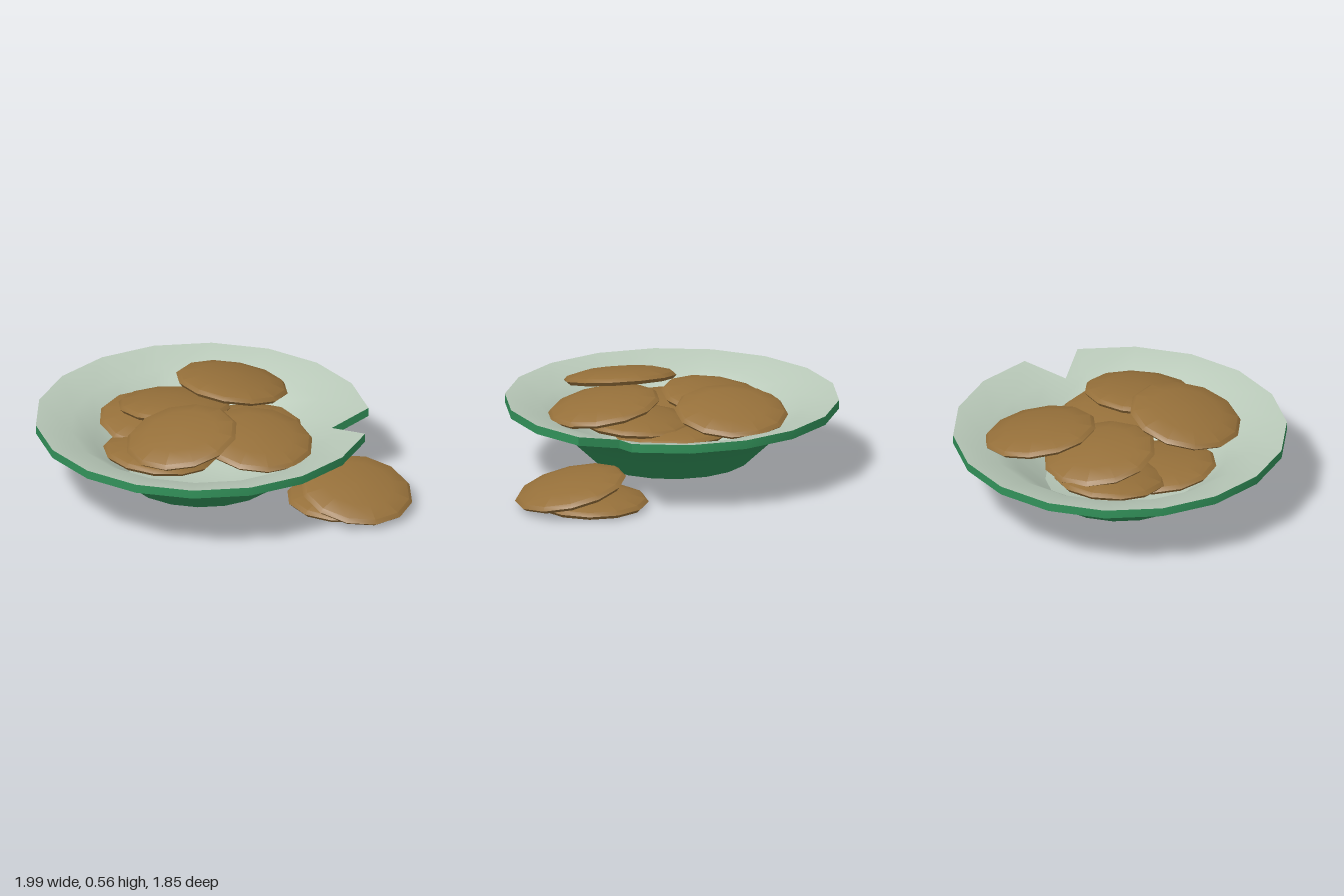
import * as THREE from 'three';
import { toCreasedNormals } from 'three/addons/utils/BufferGeometryUtils.js';

const SIDES = 18;
const STEP = (Math.PI * 2) / SIDES;
const CHIP = 2; // rim segment with the broken notch

// Profiles as [radius, height]
const OUTER = [[0, 0], [0.165, 0], [0.44, 0.08], [0.62, 0.25], [0.74, 0.33], [0.94, 0.38], [0.94, 0.43]];
const INNER = [[0.94, 0.43], [0.74, 0.38], [0.61, 0.295], [0.42, 0.125], [0.165, 0.05], [0, 0.05]];

const at = ([r, y], k) => new THREE.Vector3(r * Math.cos(k * STEP), y, -r * Math.sin(k * STEP));

function middle(p) {
  return at(p, CHIP).add(at(p, CHIP + 1)).multiplyScalar(0.5);
}

function fromTriangles(tris) {
  const geometry = new THREE.BufferGeometry().setFromPoints(tris);
  geometry.computeVertexNormals();
  return toCreasedNormals(geometry, 0.4);
}

// Turn a profile into a faceted shell, leaving the notch open
function shell(profile, extra = []) {
  const tris = [...extra];
  for (let i = 0; i < profile.length - 1; i++) {
    const p = profile[i], q = profile[i + 1];
    for (let k = 0; k < SIDES; k++) {
      const a = at(p, k), b = at(p, k + 1), c = at(q, k + 1), d = at(q, k);
      if (k === CHIP && p[0] + q[0] > 1.5) {
        if (p[0] === q[0]) continue;
        // Only the two corner triangles beside the notch remain
        if (p[0] < q[0]) {
          const m = middle(p);
          tris.push(a, m, d, m, b, c);
        } else {
          const m = middle(q);
          tris.push(a, m, d, b, c, m);
        }
        continue;
      }
      if (p[0] > 0) tris.push(a, b, c);
      if (q[0] > 0) tris.push(a, c, d);
      else if (p[0] > 0) tris.splice(tris.length - 3, 3, a, b, d);
    }
  }
  return fromTriangles(tris);
}

// Broken faces of the notch
function notchWalls() {
  const low = middle(OUTER[4]), high = middle(INNER[1]);
  const [l0, h0, l1, h1] = [at(OUTER[5], CHIP), at(OUTER[6], CHIP), at(OUTER[5], CHIP + 1), at(OUTER[6], CHIP + 1)];
  return [l0, low, high, l0, high, h0, l1, high, low, l1, h1, high];
}

export function createModel() {
  const glaze = new THREE.MeshStandardMaterial({ name: 'green glaze', color: 0x32925a });
  const lining = new THREE.MeshStandardMaterial({ name: 'pale lining', color: 0xb8c8b8 });
  const dough = new THREE.MeshStandardMaterial({ name: 'baked dough', color: 0x96703a });

  const model = new THREE.Group();
  model.name = 'chippedBowlOfBiscuits';

  // Bowl
  const bowl = new THREE.Group();
  bowl.name = 'bowl';
  bowl.position.x = -0.06;
  const outside = new THREE.Mesh(shell(OUTER, notchWalls()), glaze);
  outside.name = 'bowlOutside';
  const inside = new THREE.Mesh(shell(INNER), lining);
  inside.name = 'bowlInside';
  bowl.add(outside, inside);
  model.add(bowl);

  // One domed biscuit shape shared by all
  const profile = [[0, 0], [0.3, 0], [0.32, 0.02], [0.3, 0.04], [0.2, 0.066], [0, 0.08]];
  const lathe = new THREE.LatheGeometry(profile.map(([x, y]) => new THREE.Vector2(x, y)), 12);
  const biscuitShape = toCreasedNormals(lathe, 0.55);

  // x, y, z of the base centre, tilt about x and z, turn
  const biscuits = [
    ['lowLeftBiscuit', -0.38, 0.29, 0.09, 0, -0.1, 0.1],
    ['lowFrontBiscuit', -0.1, 0.25, 0.27, -0.1, 0, 0.3],
    ['lowBackBiscuit', 0.02, 0.27, -0.25, 0.1, 0, 0.2],
    ['middleBackBiscuit', 0.19, 0.33, -0.14, 0, 0.05, 0],
    ['leftBiscuit', -0.32, 0.38, 0, -0.1, 0.13, 0.2],
    ['rightBiscuit', 0.355, 0.41, -0.07, 0, -0.17, 0.1],
    ['backBiscuit', -0.295, 0.415, -0.38, -0.18, 0, 0.25],
    ['topBiscuit', 0.155, 0.455, 0.3, 0.21, 0, 0.1],
    ['fallenBiscuit', 0.56, 0.005, -0.525, 0, 0, 0.2],
    ['leaningBiscuit', 0.68, 0.09, -0.525, 0, -0.235, 0.25],
  ];
  for (const [name, x, y, z, tiltX, tiltZ, turn] of biscuits) {
    const biscuit = new THREE.Mesh(biscuitShape, dough);
    biscuit.name = name;
    biscuit.position.set(x, y, z);
    biscuit.rotation.set(tiltX, 0, tiltZ);
    biscuit.rotateY(turn);
    model.add(biscuit);
  }
  return model;
}
